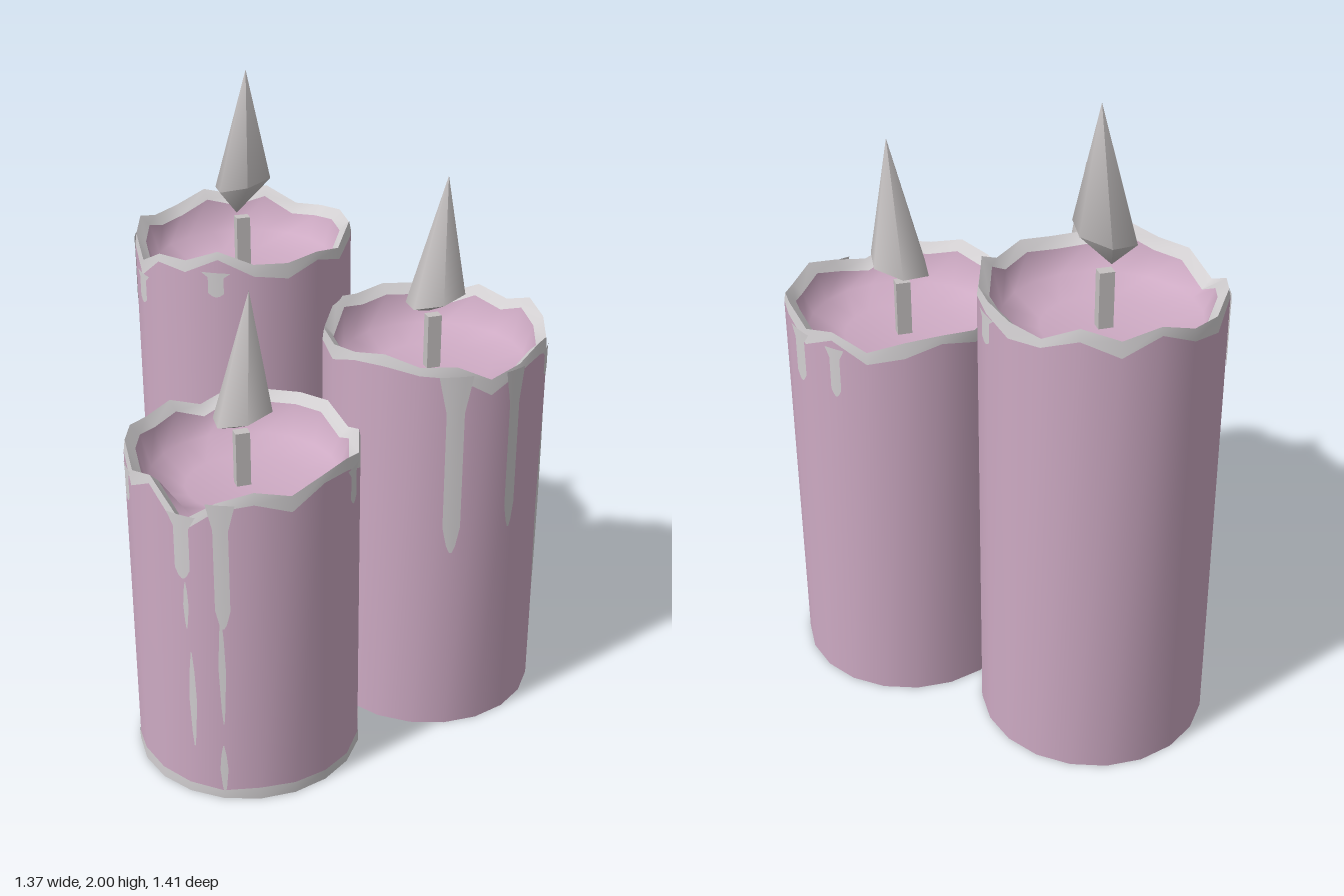
import * as THREE from 'three';
import { toCreasedNormals } from 'three/addons/utils/BufferGeometryUtils.js';

const R = 0.355;
const SIDES = 20;

function material(name, color) {
  const m = new THREE.MeshStandardMaterial({ color, side: THREE.DoubleSide });
  m.name = name;
  return m;
}

// Angle 0 is the front (+z), a quarter turn is +x.
const polar = (a, r, y) => [r * Math.sin(a), y, r * Math.cos(a)];

// Smooth surface through rows of points; closed joins the last column to the first.
function loft(rows, closed) {
  const n = rows[0].length;
  const index = [];
  for (let j = 0; j < rows.length - 1; j++) {
    for (let i = 0; i < (closed ? n : n - 1); i++) {
      const a = j * n + i, b = j * n + (i + 1) % n;
      index.push(a, b, b + n, a, b + n, a + n);
    }
  }
  const geo = new THREE.BufferGeometry();
  geo.setAttribute('position', new THREE.Float32BufferAttribute(rows.flat(2), 3));
  geo.setIndex(index);
  geo.computeVertexNormals();
  return geo;
}

// Ring around the candle axis; height is a function of the side number.
const ring = (r, height) => Array.from({ length: SIDES }, (_, i) =>
  polar(i / SIDES * Math.PI * 2, r, height(i)));

// Thin run of wax on the wall: flared at the rim, or pointed at both ends if loose.
function dripGeometry(angle, top, bottom, width, loose) {
  const rows = [0, 0.04, 0.15, 0.5, 0.8, 1].map((t) => {
    const w = loose
      ? Math.sin(Math.PI * (0.04 + 0.92 * t))
      : Math.min(1, 0.15 + t * 9) + 0.9 * Math.max(0, t - 0.8) / 0.2;
    return [-1, -0.5, 0, 0.5, 1].map((s) =>
      polar(angle + s * w * width / (2 * R), R + 0.003, bottom + t * (top - bottom)));
  });
  return loft(rows, false);
}

// Lopsided six-sided spike: a cone whose base corners lean, over a shallow point.
function flameGeometry(wideY, height, tipX) {
  const corners = Array.from({ length: 6 }, (_, i) => {
    const [x, , z] = polar(i * Math.PI / 3 + 0.4, 0.095, 0);
    return new THREE.Vector3(x, wideY + 0.25 * x, z);
  });
  const ends = [new THREE.Vector3(-0.02, 0, 0.01), new THREE.Vector3(tipX, height, 0.01)];
  const points = [];
  corners.forEach((p, i) => {
    const q = corners[(i + 1) % 6];
    points.push(p, q, ends[1], q, p, ends[0]);
  });
  const geo = new THREE.BufferGeometry().setFromPoints(points);
  return toCreasedNormals(geo, 1.1);
}

// Uneven rim: two waves around the edge, with one deep notch.
function rimRule(base, phase, notchSide, notchDepth) {
  return (i) => base + 0.022 * Math.sin(i * 2.6 + phase) + 0.015 * Math.sin(i * 1.1 + phase * 2)
    - (i === notchSide ? notchDepth : 0);
}

export function createModel() {
  const pink = material('pinkWax', 0xcdaac3);
  const pale = material('paleWax', 0xd2cfd1);
  const grey = material('flameGrey', 0xc6c2c2);

  const model = new THREE.Group();
  model.name = 'candleCluster';

  function addPart(group, name, geo, mat) {
    const mesh = new THREE.Mesh(geo, mat);
    mesh.name = name;
    group.add(mesh);
    return mesh;
  }

  function addCandle(name, x, z, height, rim, flameGeo) {
    const group = new THREE.Group();
    group.name = name;
    group.position.set(x, 0, z);
    model.add(group);

    // Open wax wall, pale melted rim and the sunken pool
    const band = (i) => rim(i) - 0.025 - 0.012 * ((i * 7) % 3);
    const lip = (i) => rim(i) - 0.03;
    const pool = height - 0.14;
    addPart(group, 'wall', loft([ring(R, () => 0), ring(R, band)], true), pink);
    addPart(group, 'rim', toCreasedNormals(
      loft([ring(R, band), ring(R - 0.005, rim), ring(R - 0.035, lip)], true), 0.9), pale);
    addPart(group, 'pool', loft([ring(R - 0.035, lip), ring(0.29, () => pool + 0.03),
      ring(0.18, () => pool), ring(0.001, () => pool)], true), pink);

    // Wick, with the flame hovering over it
    const length = 0.2;
    const wick = addPart(group, 'wick', new THREE.BoxGeometry(0.045, length, 0.035), grey);
    wick.position.set(-0.005, height + 0.035 - length / 2, 0);
    wick.rotation.y = 0.5;
    addPart(group, 'flame', flameGeo, grey).position.y = height + 0.05;
    return group;
  }

  const addDrip = (group, ...shape) => addPart(group, 'drip', dripGeometry(...shape), pale);

  const tall = addCandle('tallCandle', -0.33, -0.345, 1.48,
    rimRule(1.485, 1, 17, 0.1), flameGeometry(0.1, 0.47, 0.02));
  addDrip(tall, -0.02, 1.45, 1.37, 0.05);
  addDrip(tall, -0.92, 1.38, 1.28, 0.05);
  addDrip(tall, -1.4, 1.45, 1.22, 0.03);
  addDrip(tall, 2.2, 1.45, 1.36, 0.05);

  const middle = addCandle('middleCandle', 0.33, -0.13, 1.27,
    rimRule(1.275, 3.2, 2, 0.08), flameGeometry(0.04, 0.44, 0.03));
  addDrip(middle, 0.31, 1.25, 0.65, 0.055);
  addDrip(middle, 0.88, 1.24, 0.7, 0.04);
  addDrip(middle, 1.46, 1.02, 0.37, 0.045, true);
  addDrip(middle, 1.45, 1.24, 1.15, 0.05);
  addDrip(middle, 2.43, 1.25, 1.08, 0.05);
  addDrip(middle, 2.85, 1.24, 1.08, 0.035);

  const short = addCandle('shortCandle', -0.18, 0.35, 1.05,
    rimRule(1.06, 5, 19, 0.08), flameGeometry(0.04, 0.44, 0.03));
  addDrip(short, -0.3, 0.98, 0.77, 0.05);
  addDrip(short, -0.28, 0.76, 0.6, 0.018, true);
  addDrip(short, -0.25, 0.52, 0.18, 0.025, true);
  addDrip(short, 0.04, 1.03, 0.62, 0.045);
  addDrip(short, 0.02, 0.66, 0.28, 0.022, true);
  addDrip(short, 0.01, 0.2, 0.02, 0.025, true);
  addDrip(short, -1.05, 1.03, 0.92, 0.045);
  addDrip(short, 1.35, 1.04, 0.92, 0.04);
  addDrip(short, -1.75, 0.72, 0.45, 0.03, true);

  // Pale uneven foot of the short candle
  addPart(short, 'foot', loft([ring(R + 0.002, () => 0),
    ring(R + 0.002, (i) => 0.03 + 0.004 * ((i * 3) % 4))], true), pale);

  return model;
}
